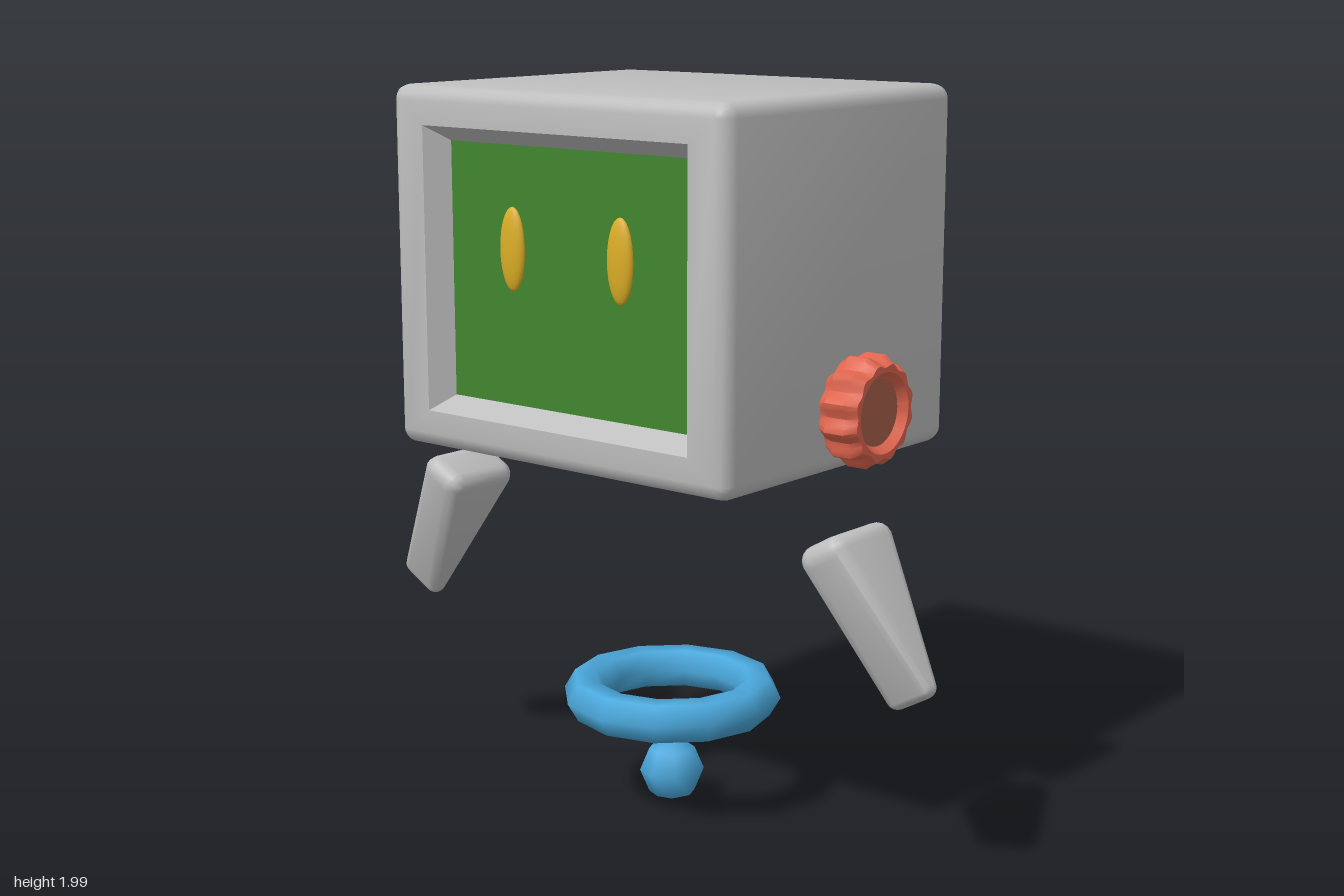
import * as THREE from 'three';
import { toCreasedNormals } from 'three/addons/utils/BufferGeometryUtils.js';
import { ConvexGeometry } from 'three/addons/geometries/ConvexGeometry.js';

// Skin closed cross-sections (arrays of [x, y, z]), listed from front to back
function loft(rings, crease) {
  const n = rings[0].length, index = [];
  for (let i = 0; i < rings.length - 1; i++) {
    for (let j = 0; j < n; j++) {
      const k = (j + 1) % n;
      const a = i * n + j, b = i * n + k, c = a + n, d = b + n;
      index.push(a, c, d, a, d, b);
    }
  }
  const geo = new THREE.BufferGeometry();
  geo.setAttribute('position', new THREE.Float32BufferAttribute(rings.flat(2), 3));
  geo.setIndex(index);
  return toCreasedNormals(geo, crease);
}

// Rounded rectangle section with half sizes hx, hy and corner radius r
function rectRing(hx, hy, r, z) {
  const pts = [];
  [[1, 1], [-1, 1], [-1, -1], [1, -1]].forEach(([sx, sy], q) => {
    for (let i = 0; i <= 4; i++) {
      const t = (q + i / 4) * Math.PI / 2;
      pts.push([sx * (hx - r) + r * Math.cos(t), sy * (hy - r) + r * Math.sin(t), z]);
    }
  });
  return pts;
}

// Circular section with twelve scallops of height amp
function scallopRing(r, amp, z) {
  const pts = [], n = 72;
  for (let i = 0; i < n; i++) {
    const t = i / n * Math.PI * 2;
    const rad = r - amp * Math.cos(12 * t);
    pts.push([rad * Math.cos(t), rad * Math.sin(t), z]);
  }
  return pts;
}

export function createModel() {
  const mat = (name, color) => {
    const m = new THREE.MeshStandardMaterial({ color });
    m.name = name;
    return m;
  };
  const grey = mat('casing grey', 0xbebebe);
  const green = mat('screen green', 0x41862f);
  const yellow = mat('eye yellow', 0xdcae26);
  const red = mat('knob red', 0xe0654e);
  const brown = mat('knob face brown', 0xa9624c);
  const blue = mat('hover blue', 0x4aa8dc);

  const model = new THREE.Group();
  model.name = 'hoveringScreenRobot';
  const add = (name, geo, material, x, y, z) => {
    const mesh = new THREE.Mesh(geo, material);
    mesh.name = name;
    mesh.position.set(x, y, z);
    model.add(mesh);
    return mesh;
  };

  // Casing: sloped screen recess, flat frame, rounded edges, closed back
  const HX = 0.565, HY = 0.48, HZ = 0.48, R = 0.04;
  const rings = [rectRing(0.4, 0.338, 0, HZ - 0.06), rectRing(0.445, 0.378, 0, HZ)];
  for (const side of [1, -1]) {
    for (let i = 0; i <= 3; i++) {
      const t = (side > 0 ? i : 3 - i) / 3 * Math.PI / 2;
      const inset = R * (1 - Math.sin(t));
      rings.push(rectRing(HX - inset, HY - inset, R - inset, side * (HZ - R + R * Math.cos(t))));
    }
  }
  rings.push(rectRing(0, 0, 0, -HZ));
  add('casing', loft(rings, 0.7), grey, 0, 1.522, 0);

  // Screen and eyes
  add('screen', new THREE.PlaneGeometry(0.8, 0.676), green, 0, 1.522, HZ - 0.06);
  for (const s of [1, -1]) {
    const eye = add(s > 0 ? 'leftEye' : 'rightEye', new THREE.SphereGeometry(1, 20, 14), yellow,
      s * 0.183, 1.592, HZ - 0.06);
    eye.scale.set(0.042, 0.11, 0.02);
  }

  // Scalloped side knob with a dished face
  const knob = loft([
    scallopRing(0.088, 0, 0.035),
    scallopRing(0.105, 0, 0.0575),
    scallopRing(0.121, 0.005, 0.0575),
    scallopRing(0.138, 0.009, 0.028),
    scallopRing(0.138, 0.009, -0.028),
    scallopRing(0.121, 0.005, -0.0575),
    scallopRing(0, 0, -0.0575),
  ], 0.5);
  add('knob', knob, red, 0.637, 1.21, 0).rotation.y = Math.PI / 2;
  add('knobFace', new THREE.CircleGeometry(0.088, 36), brown, 0.672, 1.21, 0).rotation.y = Math.PI / 2;

  // Arms: rounded wedges, wide at the shoulder and narrow at the tip
  for (const s of [1, -1]) {
    const points = [];
    const corners = [[0.19, 0.085, 0.035, 0.04], [0.19, -0.085, 0.035, 0.04], [-0.2, -0.008, 0.046, 0.03]];
    for (const [y, z, x, r] of corners) {
      for (const side of [1, -1]) {
        const ball = new THREE.SphereGeometry(r, 12, 8).attributes.position;
        for (let i = 0; i < ball.count; i++) {
          points.push(new THREE.Vector3().fromBufferAttribute(ball, i).add(new THREE.Vector3(side * x, y, z)));
        }
      }
    }
    const arm = add(s > 0 ? 'leftArm' : 'rightArm', toCreasedNormals(new ConvexGeometry(points), 0.9), grey,
      s * 0.762, 0.711, 0.114);
    arm.rotation.z = s * Math.PI / 6;
  }

  // Hover ring and ball underneath
  add('hoverRing', new THREE.TorusGeometry(0.245, 0.06, 6, 12), blue, 0, 0.324, 0).rotation.x = Math.PI / 2;
  add('hoverBall', new THREE.SphereGeometry(0.09, 8, 4), blue, 0, 0.098, 0);

  return model;
}
